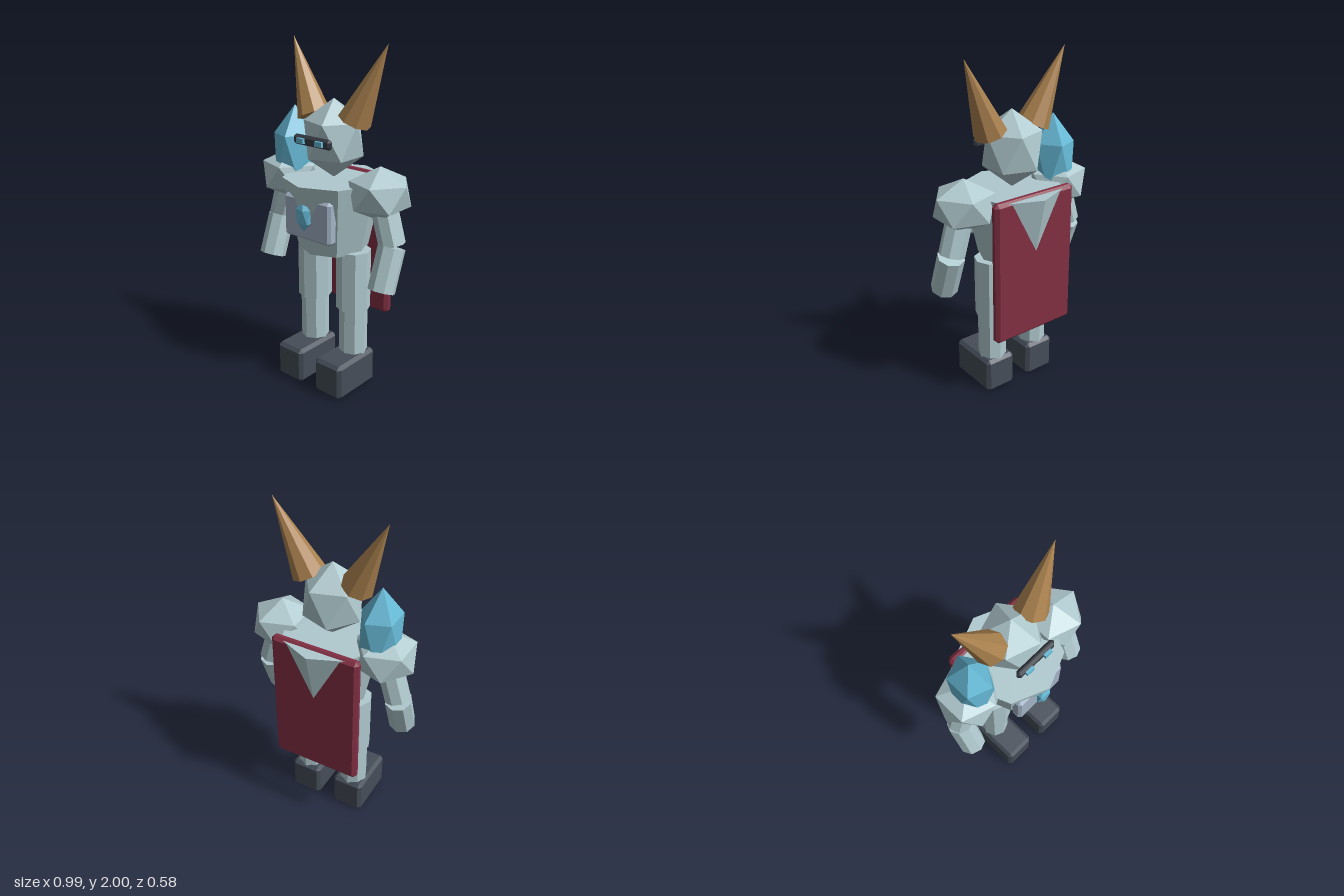
import * as THREE from 'three';
import { ConvexGeometry } from 'three/addons/geometries/ConvexGeometry.js';

export function createModel() {
  const model = new THREE.Group();
  model.name = 'hornedKnight';

  const material = (name, color) => {
    const m = new THREE.MeshStandardMaterial({ color, flatShading: true });
    m.name = name;
    return m;
  };
  const armor = material('pale steel', 0xb0cacf);
  const plate = material('blue steel', 0xa3b3c6);
  const cloth = material('crimson cloth', 0x822f43);
  const leather = material('dark leather', 0x454d58);
  const iron = material('dark iron', 0x363d45);
  const horn = material('horn brown', 0xac8350);
  const crystal = material('crystal blue', 0x66b9d6);

  const add = (name, geometry, mat, x, y, z) => {
    const mesh = new THREE.Mesh(geometry, mat);
    mesh.name = name;
    mesh.position.set(x, y, z);
    model.add(mesh);
    return mesh;
  };

  // Box with a single flat chamfer on every edge
  const chamferBox = (w, h, d, c) => {
    const points = [];
    for (const sx of [-1, 1]) for (const sy of [-1, 1]) for (const sz of [-1, 1]) {
      for (let axis = 0; axis < 3; axis++) {
        const inset = [c, c, c];
        inset[axis] = 0;
        points.push(new THREE.Vector3(
          sx * (w / 2 - inset[0]), sy * (h / 2 - inset[1]), sz * (d / 2 - inset[2])));
      }
    }
    return new ConvexGeometry(points);
  };

  // Stretched icosahedron standing on one of its corners
  const facetBall = (rx, ry, rz) =>
    new THREE.IcosahedronGeometry(1, 0).rotateZ(-Math.atan2(2, 1 + Math.sqrt(5))).scale(rx, ry, rz);

  // Eight-sided limb or cone between two points
  const limb = (name, from, to, r0, r1, mat) => {
    const a = new THREE.Vector3(...from), b = new THREE.Vector3(...to);
    const mid = a.clone().add(b).multiplyScalar(0.5);
    const mesh = add(name, new THREE.CylinderGeometry(r1, r0, a.distanceTo(b), 8), mat, mid.x, mid.y, mid.z);
    mesh.quaternion.setFromUnitVectors(new THREE.Vector3(0, 1, 0), b.sub(a).normalize());
    return mesh;
  };

  // Torso, cape and chest
  add('torso', new THREE.CylinderGeometry(0.29, 0.2, 0.415, 8), armor, 0, 1.045, 0);
  add('cape', chamferBox(0.54, 0.85, 0.06, 0.02), cloth, 0, 0.838, -0.19);
  add('chestPlate', chamferBox(0.335, 0.245, 0.07, 0.015), plate, 0, 1.055, 0.2);
  add('chestGem', facetBall(0.055, 0.088, 0.03), crystal, 0, 1.08, 0.255);

  // Head and visor
  add('head', facetBall(0.185, 0.222, 0.185), armor, 0, 1.47, 0);
  add('visor', chamferBox(0.265, 0.055, 0.036, 0.014), iron, 0, 1.48, 0.174);

  // Crystal on the right shoulder
  add('shoulderCrystal', facetBall(0.13, 0.297, 0.147), crystal, -0.292, 1.325, 0);

  for (const s of [-1, 1]) {
    const side = s > 0 ? 'left' : 'right';
    add(side + 'Eye', new THREE.BoxGeometry(0.05, 0.028, 0.02), crystal, s * 0.066, 1.48, 0.198);
    limb(side + 'Horn', [s * 0.145, 1.583, 0], [s * 0.33, 2, -0.04], 0.095, 0, horn);

    // Arm
    add(side + 'ShoulderPad', facetBall(0.19, 0.152, 0.19), armor, s * 0.325, 1.215, 0);
    limb(side + 'UpperArm', [s * 0.415, 0.942, 0], [s * 0.33, 1.23, 0], 0.075, 0.075, armor);
    limb(side + 'Forearm', [s * 0.415, 0.7, 0.09], [s * 0.415, 0.932, 0.004], 0.078, 0.078, armor);

    // Leg
    add(side + 'Thigh', new THREE.CylinderGeometry(0.1, 0.1, 0.36, 8), armor, s * 0.147, 0.67, 0);
    add(side + 'Shin', new THREE.CylinderGeometry(0.083, 0.083, 0.33, 8), armor, s * 0.15, 0.355, 0);
    add(side + 'Boot', chamferBox(0.195, 0.215, 0.33, 0.02), leather, s * 0.148, 0.1075, 0.075);
  }
  return model;
}
